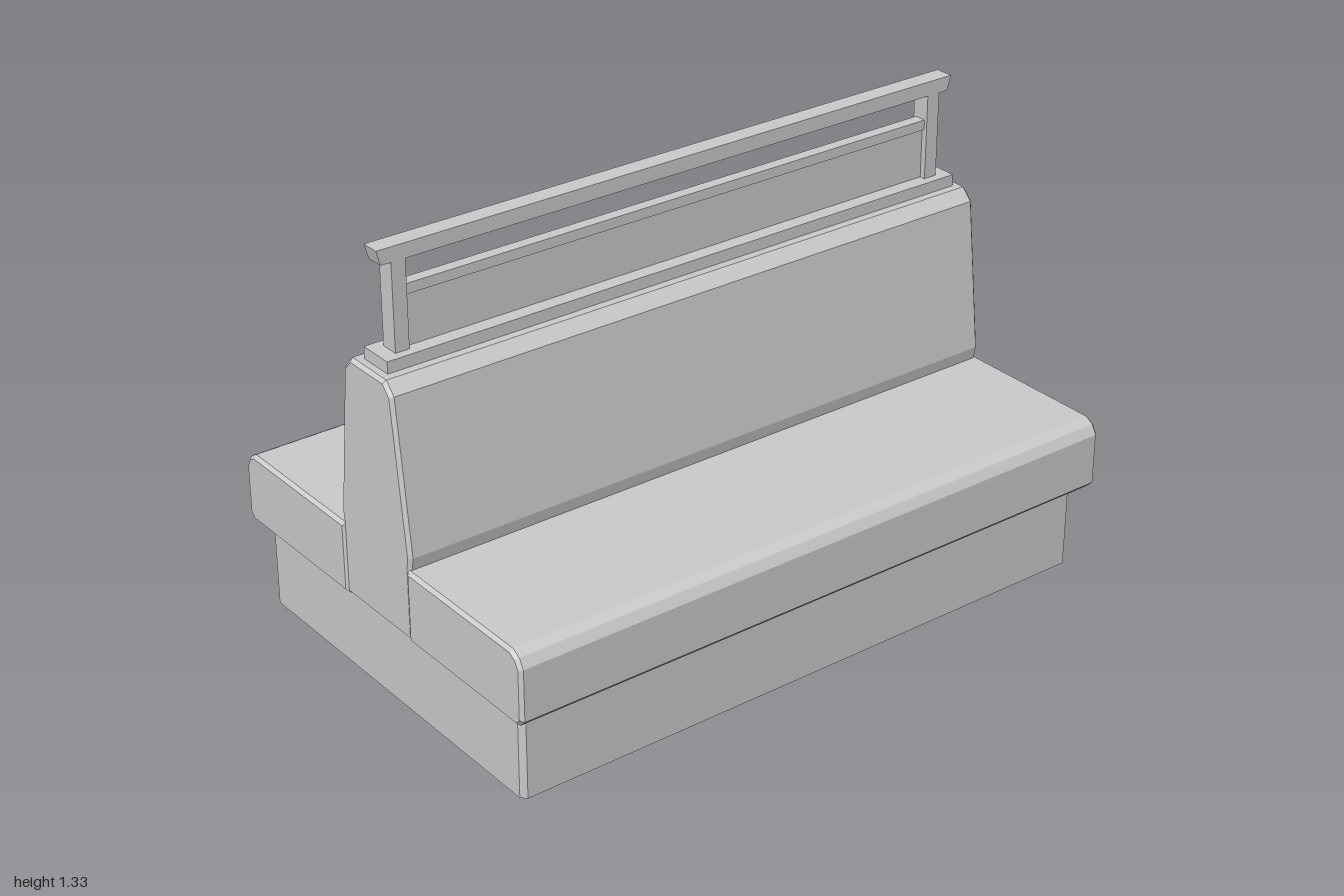
import * as THREE from 'three';

const material = new THREE.MeshStandardMaterial({ color: 0xcccccc, flatShading: true });

function add(parent, name, geometry, x = 0, y = 0, z = 0) {
  const mesh = new THREE.Mesh(geometry, material);
  mesh.name = name;
  mesh.position.set(x, y, z);
  parent.add(mesh);
  return mesh;
}

// Outline extruded symmetrically about the origin, with one-step chamfered ends
function prism(points, length, bevel = 0) {
  const shape = new THREE.Shape(points.map(([x, y]) => new THREE.Vector2(x, y)));
  const geometry = new THREE.ExtrudeGeometry(shape, {
    depth: length - 2 * bevel,
    bevelEnabled: bevel > 0,
    bevelThickness: bevel,
    bevelSize: bevel,
    bevelOffset: -bevel,
    bevelSegments: 1,
  });
  return geometry.translate(0, 0, -length / 2 + bevel);
}

// Mirrors a right-hand half outline into a closed symmetric one
const mirrored = (half) => [...half, ...half.map(([x, y]) => [-x, y]).reverse()];

export function createModel() {
  const model = new THREE.Group();
  model.name = 'doubleBench';

  // Plinth with chamfered vertical corners
  const plinth = prism(mirrored([[0.595, -0.965], [0.61, -0.95], [0.61, 0.95], [0.595, 0.965]]), 0.262);
  add(model, 'plinth', plinth.rotateX(-Math.PI / 2), 0, 0.131, 0);

  // Seat cushions on both sides, outer edges rounded in facets
  const seat = [
    [0.15, 0.26], [0.645, 0.26], [0.665, 0.28], [0.665, 0.435],
    [0.649, 0.463], [0.622, 0.478], [0.15, 0.478],
  ];
  add(model, 'leftSeat', prism(seat, 2, 0.01));
  add(model, 'rightSeat', prism(seat.map(([x, y]) => [-x, y]).reverse(), 2, 0.01));

  // Shared tapered backrest
  const back = mirrored([
    [0.16, 0.26], [0.16, 0.478], [0.166, 0.515], [0.113, 0.965], [0.08, 1.0],
  ]);
  add(model, 'backrest', prism(back, 1.99, 0.01));

  // Railing on top of the backrest
  const railing = new THREE.Group();
  railing.name = 'railing';
  model.add(railing);
  add(railing, 'railingBase', new THREE.BoxGeometry(0.11, 0.037, 1.93), 0, 1.0165, 0);
  for (const [side, name] of [[1, 'frontPost'], [-1, 'backPost']]) {
    add(railing, name, new THREE.BoxGeometry(0.056, 0.26, 0.043), 0, 1.162, side * 0.901);
  }
  add(railing, 'dividerPanel', new THREE.BoxGeometry(0.02, 0.155, 1.77), 0, 1.108, 0);
  add(railing, 'dividerCap', new THREE.BoxGeometry(0.036, 0.03, 1.77), 0, 1.199, 0);

  // Handrail with slanted ends
  const handrail = prism(mirrored([[0.953, 1.29], [0.965, 1.333]]), 0.056);
  add(railing, 'handrail', handrail.rotateY(Math.PI / 2));

  return model;
}
